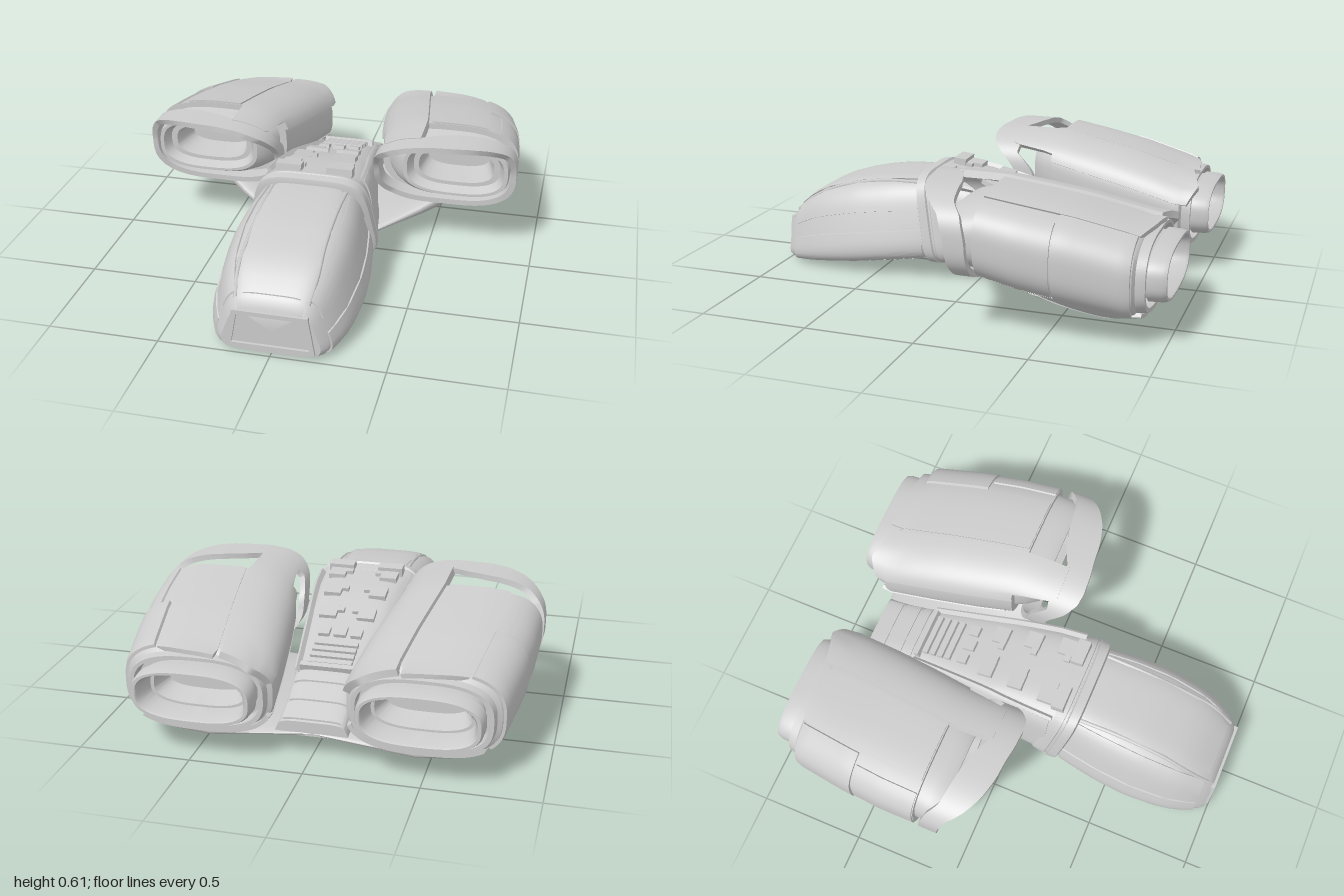
import * as THREE from 'three';
import { toCreasedNormals } from 'three/addons/utils/BufferGeometryUtils.js';

const material = new THREE.MeshStandardMaterial({ color: 0xcccccc, side: THREE.DoubleSide });
const rad = Math.PI / 180;

function addMesh(parent, name, geometry) {
  const mesh = new THREE.Mesh(geometry, material);
  mesh.name = name;
  parent.add(mesh);
  return mesh;
}

// Joins rows of points into a skin
function grid(rows, flip) {
  const pos = [], ab = new THREE.Vector3(), ac = new THREE.Vector3();
  const tri = (a, b, c) => {
    if (ab.subVectors(b, a).cross(ac.subVectors(c, a)).lengthSq() < 1e-16) return;
    for (const p of flip ? [a, c, b] : [a, b, c]) pos.push(p.x, p.y, p.z);
  };
  for (let i = 0; i + 1 < rows.length; i++)
    for (let j = 0; j + 1 < rows[i].length; j++) {
      const a = rows[i][j], b = rows[i][j + 1], c = rows[i + 1][j], d = rows[i + 1][j + 1];
      tri(a, b, c);
      tri(b, d, c);
    }
  const geo = new THREE.BufferGeometry();
  geo.setAttribute('position', new THREE.Float32BufferAttribute(pos, 3));
  return toCreasedNormals(geo, 0.6);
}

// Linear interpolation in a table whose first column ascends; clamped at the ends
function lookup(keys, t) {
  if (t <= keys[0][0]) return keys[0];
  for (let i = 1; i < keys.length; i++)
    if (t <= keys[i][0]) {
      const a = keys[i - 1], b = keys[i], k = (t - a[0]) / (b[0] - a[0]);
      return a.map((v, n) => v + (b[n] - v) * k);
    }
  return keys[keys.length - 1];
}

const power = (v, n) => Math.sign(v) * Math.abs(v) ** (2 / n);

// Point on a rounded section [z, centreX, halfWidth, bottom, top]
function sectionPoint([z, cx, hw, y0, y1], deg, { n = 3, taper = 0, shear = 0, side = 1 }, off = 0) {
  const v = power(Math.sin(deg * rad), n);
  const u = power(Math.cos(deg * rad), n) * (1 - taper * (v + 0.4));
  const y = (y0 + y1) / 2 + v * ((y1 - y0) / 2 + off);
  return new THREE.Vector3(side * (cx + u * (hw + off)), y, z + shear * (y - 0.29));
}

// Skin through sections, closed to a point at both ends
function loft(sections, style) {
  const ends = (s) => [s[0], s[1], 0, (s[3] + s[4]) / 2, (s[3] + s[4]) / 2];
  const all = [ends(sections[0]), ...sections, ends(sections[sections.length - 1])];
  const rows = all.map((s) => Array.from({ length: 73 }, (_, j) => sectionPoint(s, j * 5, style)));
  return grid(rows, style.side < 0);
}

// Surface function (degrees, z, offset) of a body
const surfaceOf = (keys, style) => (deg, z, off) => {
  const s = [...lookup(keys, z)];
  s[0] = z;
  return sectionPoint(s, deg, style, off);
};

// Closed plate lying on a surface; v limits may depend on the angle
function plate(surface, u0, u1, v0, v1, t = 0.01, low = -0.006, flip = false) {
  const at = (v, u) => (typeof v === 'function' ? v(u) : v);
  const nu = Math.max(4, Math.ceil((u1 - u0) / 4)), nv = 12, rows = [];
  for (let i = -1; i <= nu + 1; i++) {
    const u = u0 + (u1 - u0) * Math.min(Math.max(i / nu, 0), 1);
    const a = at(v0, u), b = at(v1, u), row = [];
    const outer = i < 0 || i > nu ? low : t;
    for (let j = 0; j <= nv; j++) row.push(surface(u, a + (b - a) * j / nv, outer));
    for (let j = nv; j >= 0; j--) row.push(surface(u, a + (b - a) * j / nv, low));
    row.push(row[0].clone());
    rows.push(row);
  }
  return grid(rows, !flip);
}

function buildNose(parent) {
  const style = { n: 4.4, taper: 0.19 };
  const keys = [[0.2, 0, 0.27, 0.09, 0.46], [0.3, 0, 0.29, 0.08, 0.464], [0.45, 0, 0.312, 0.06, 0.456],
    [0.62, 0, 0.32, 0.038, 0.432], [0.8, 0, 0.302, 0.018, 0.378], [0.9, 0, 0.268, 0.008, 0.318],
    [0.96, 0, 0.237, 0.002, 0.265], [0.985, 0, 0.215, 0.01, 0.228]];
  const surface = surfaceOf(keys, style);
  addMesh(parent, 'noseHull', loft(keys, style));
  addMesh(parent, 'canopy', plate(surface, 64, 116, 0.25, 0.95, 0.006));
  addMesh(parent, 'noseBelly', plate(surface, 232, 308, 0.3, 0.92, 0.004));
  for (const [a, b] of [[4, 46], [-45, -1]])
    for (const [lo, hi] of [[a, b], [180 - b, 180 - a]])
      addMesh(parent, 'noseSidePanel', plate(surface, lo, hi, 0.25, 0.94, 0.007));
  // Ribs flaring out towards the tip
  for (const s of [1, -1]) {
    const path = [[54, 0.3], [61, 0.5], [60, 0.72], [52, 0.85], [44, 0.955]].map(([d, z]) => surface(90 + s * (d - 90), z, 0));
    addMesh(parent, 'canopyRib', new THREE.TubeGeometry(new THREE.CatmullRomCurve3(path), 32, 0.01, 6));
  }
  // Framed grille on the tip
  const trapezoid = (Type, w0, w1, y0, y1) => new Type([[-w0, y0], [w0, y0], [w1, y1], [-w1, y1]]
    .map(([x, y]) => new THREE.Vector2(x, y)));
  const frame = trapezoid(THREE.Shape, 0.195, 0.165, 0.03, 0.21);
  frame.holes.push(trapezoid(THREE.Path, 0.17, 0.145, 0.05, 0.19));
  const grille = addMesh(parent, 'noseGrille', new THREE.ExtrudeGeometry(frame, { depth: 0.02, bevelEnabled: false }));
  grille.position.z = 0.978;
}

function buildFuselage(parent) {
  const style = { n: 4.6, taper: 0.1 };
  // The underside lifts behind the collar, leaving a gap above the wing
  const keys = [[-0.85, 0, 0.16, 0.1, 0.165], [-0.72, 0, 0.16, 0.09, 0.22], [-0.57, 0, 0.17, 0.09, 0.285],
    [-0.3, 0, 0.21, 0.19, 0.37], [-0.16, 0, 0.232, 0.225, 0.415], [-0.12, 0, 0.24, 0.16, 0.428],
    [-0.07, 0, 0.25, 0.085, 0.443], [0.05, 0, 0.268, 0.075, 0.47], [0.25, 0, 0.285, 0.08, 0.492]];
  const surface = surfaceOf(keys, style);
  addMesh(parent, 'fuselage', loft(keys, style));
  const collar = [[0.13, 0, 0.275, 0.08, 0.465], [0.145, 0, 0.288, 0.072, 0.485], [0.2, 0, 0.298, 0.07, 0.497],
    [0.205, 0, 0.292, 0.075, 0.49], [0.215, 0, 0.292, 0.075, 0.49], [0.22, 0, 0.302, 0.068, 0.5],
    [0.262, 0, 0.3, 0.07, 0.495], [0.272, 0, 0.28, 0.08, 0.47]];
  addMesh(parent, 'collar', loft(collar, { ...style, taper: 0.13, shear: 0.2 }));
  for (const [a, b] of [[40, 47], [133, 140]]) addMesh(parent, 'spineRail', plate(surface, a, b, -0.58, 0.18, 0.022));
  for (const [a, b] of [[-38, 36], [144, 218]])
    addMesh(parent, 'flankPanel', plate(surface, a, b, (u) => -0.04 + 0.0015 * (a < 0 ? u : 180 - u), 0.17, 0.008));
  for (const [z0, z1] of [[-0.84, -0.76], [-0.74, -0.66], [-0.64, -0.6]])
    addMesh(parent, 'rearDeckPlate', plate(surface, 40, 140, z0, z1, 0.008));
  // Blocks along the sloping spine
  const block = (name, x, z, w, d, h = 0.03) => {
    const s = lookup(keys, z), slope = (lookup(keys, z + 0.03)[4] - lookup(keys, z - 0.03)[4]) / 0.06;
    const mesh = addMesh(parent, name, new THREE.BoxGeometry(w, h, d));
    mesh.position.set(x, s[4] + 0.002, z);
    mesh.rotation.x = -Math.atan(slope);
  };
  block('spineEnd', 0, -0.565, 0.25, 0.025, 0.045);
  for (let i = 0; i < 4; i++) block('spineRung', 0, -0.53 + i * 0.04, 0.2, 0.028);
  block('spineBlock', 0, -0.33, 0.055, 0.06);
  for (const s of [-1, 1]) {
    block('spineBlock', s * 0.075, -0.335, 0.05, 0.05);
    [-0.2, -0.04, 0.12].forEach((z, i) => {
      block('spineBlock', s * (0.09 + i * 0.018), z, 0.08, 0.075);
      block('spineBlock', s * (0.07 + i * 0.018), z + 0.02, 0.1, 0.03);
    });
    block('collarLug', s * 0.12, 0.19, 0.12, 0.06, 0.06);
  }
}

// Swept lower wing from the belly up to both pods: [x, front z, back z, bottom, top, rise of the front edge]
function buildLowerWing(parent) {
  const half = [[0, 0.1, -0.85, 0.065, 0.12, -0.02], [0.25, -0.02, -0.87, 0.053, 0.13, -0.005], [0.45, -0.15, -0.88, 0.06, 0.18, 0.035],
    [0.6, -0.27, -0.89, 0.085, 0.235, 0.05], [0.7, -0.38, -0.86, 0.118, 0.27, 0.045], [0.74, -0.46, -0.8, 0.16, 0.27, 0.035]];
  const surface = (deg, x, off) => {
    const [, front, back, y0, y1, rise] = lookup(half, Math.abs(x));
    const c = -power(Math.cos(deg * rad), 2.3), v = power(Math.sin(deg * rad), 2.3);
    const y = (y0 + y1) / 2 + c * rise + v * ((y1 - y0) / 2 + off);
    return new THREE.Vector3(x, y, (front + back) / 2 + c * ((front - back) / 2 + off));
  };
  const stations = [...half.map((s) => -s[0]).reverse(), ...half.slice(1).map((s) => s[0])];
  const rows = stations.map((x) => Array.from({ length: 49 }, (_, j) => surface(j * 7.5, x, 0)));
  const cap = (x) => Array.from({ length: 49 }, () => new THREE.Vector3(x, 0.215, -0.63));
  addMesh(parent, 'lowerWing', grid([cap(-0.74), ...rows, cap(0.74)]));
  for (const [u0, u1, x0, x1] of [[282, 325, 0.28, 0.5], [225, 275, 0.22, 0.45], [235, 300, 0.5, 0.66]])
    for (const s of [1, -1])
      addMesh(parent, 'bellyPanel', plate(surface, u0, u1, s > 0 ? x0 : -x1, s > 0 ? x1 : -x0, 0.006));
  addMesh(parent, 'bellyKeel', plate(surface, 225, 335, -0.16, 0.16, 0.006));
}

function buildPod(parent, side) {
  const pod = new THREE.Group();
  pod.name = side > 0 ? 'leftEnginePod' : 'rightEnginePod';
  parent.add(pod);
  const style = { n: 2.8, side }, flip = side < 0;
  const shell = [[-0.87, 0.485, 0.325, 0.103, 0.465], [-0.85, 0.487, 0.332, 0.1, 0.474], [-0.6, 0.522, 0.338, 0.145, 0.535],
    [-0.4, 0.548, 0.335, 0.185, 0.57], [-0.22, 0.567, 0.323, 0.232, 0.598]];
  // Hollow nozzle, rear collar, shell and nested intake as one continuous profile
  const nozzle = [[-0.78, 0.485, 0.17, 0.24, 0.34], [-0.88, 0.485, 0.205, 0.21, 0.37], [-0.88, 0.485, 0.22, 0.2, 0.38],
    [-0.99, 0.485, 0.235, 0.192, 0.39], [-1, 0.485, 0.243, 0.187, 0.394], [-1, 0.485, 0.257, 0.176, 0.404],
    [-0.98, 0.485, 0.265, 0.17, 0.41], [-0.92, 0.485, 0.268, 0.167, 0.413], [-0.91, 0.485, 0.255, 0.178, 0.402],
    [-0.86, 0.485, 0.255, 0.178, 0.402], [-0.86, 0.485, 0.275, 0.145, 0.425], [-0.92, 0.485, 0.28, 0.138, 0.432],
    [-0.92, 0.485, 0.297, 0.118, 0.446], [-0.88, 0.485, 0.305, 0.112, 0.452]];
  const intake = [[-0.22, 0.573, 0.295, 0.26, 0.57], [-0.17, 0.585, 0.283, 0.266, 0.56], [-0.12, 0.603, 0.265, 0.274, 0.552],
    [-0.1, 0.613, 0.25, 0.284, 0.542], [-0.1, 0.613, 0.232, 0.297, 0.53], [-0.15, 0.614, 0.207, 0.315, 0.515],
    [-0.15, 0.612, 0.18, 0.333, 0.495], [-0.22, 0.608, 0.166, 0.34, 0.486], [-0.3, 0.605, 0.15, 0.35, 0.472]];
  addMesh(pod, 'enginePod', loft([...nozzle, ...shell, ...intake], style));
  const surface = surfaceOf(shell, style);
  const panel = (name, u0, u1, v0, v1, t, low) => addMesh(pod, name, plate(surface, u0, u1, v0, v1, t, low, flip));
  panel('podOuterRearPanel', -40, 62, -0.865, -0.55, 0.013);
  panel('podOuterFrontPanel', -40, 50, -0.54, -0.225, 0.008);
  panel('podTopPanel', 64, 99, (u) => -0.87 - 0.0016 * (u - 64), -0.225, 0.008, -0.012);
  panel('podBottomPanel', 200, 315, -0.9, -0.26, 0.006, -0.012);
  panel('podInnerStrap', 102, 165, (u) => -0.95 + 0.0015 * Math.abs(u - 135),
    (u) => -0.01 - Math.min(0.21, Math.max(0, u - 140) * 0.018), 0.016, -0.015);
  // Slanted hoop ahead of the intake: [angle, front z, back z]
  const hoop = [[0, -0.1, -0.19], [30, -0.06, -0.16], [50, 0, -0.115], [70, 0.05, -0.1], [85, 0.075, -0.085], [102, 0.095, -0.02],
    [120, 0.1, -0.06], [135, 0.09, -0.05], [155, 0.045, -0.04], [180, -0.04, -0.13], [225, -0.11, -0.2],
    [270, -0.13, -0.21], [315, -0.12, -0.2], [360, -0.1, -0.19]];
  panel('intakeHoop', 0, 360, (u) => lookup(hoop, u)[2], (u) => lookup(hoop, u)[1], 0.012, -0.014);
}

export function createModel() {
  const model = new THREE.Group();
  model.name = 'spacecraft';
  buildNose(model);
  buildFuselage(model);
  buildLowerWing(model);
  for (const side of [1, -1]) buildPod(model, side);
  return model;
}
